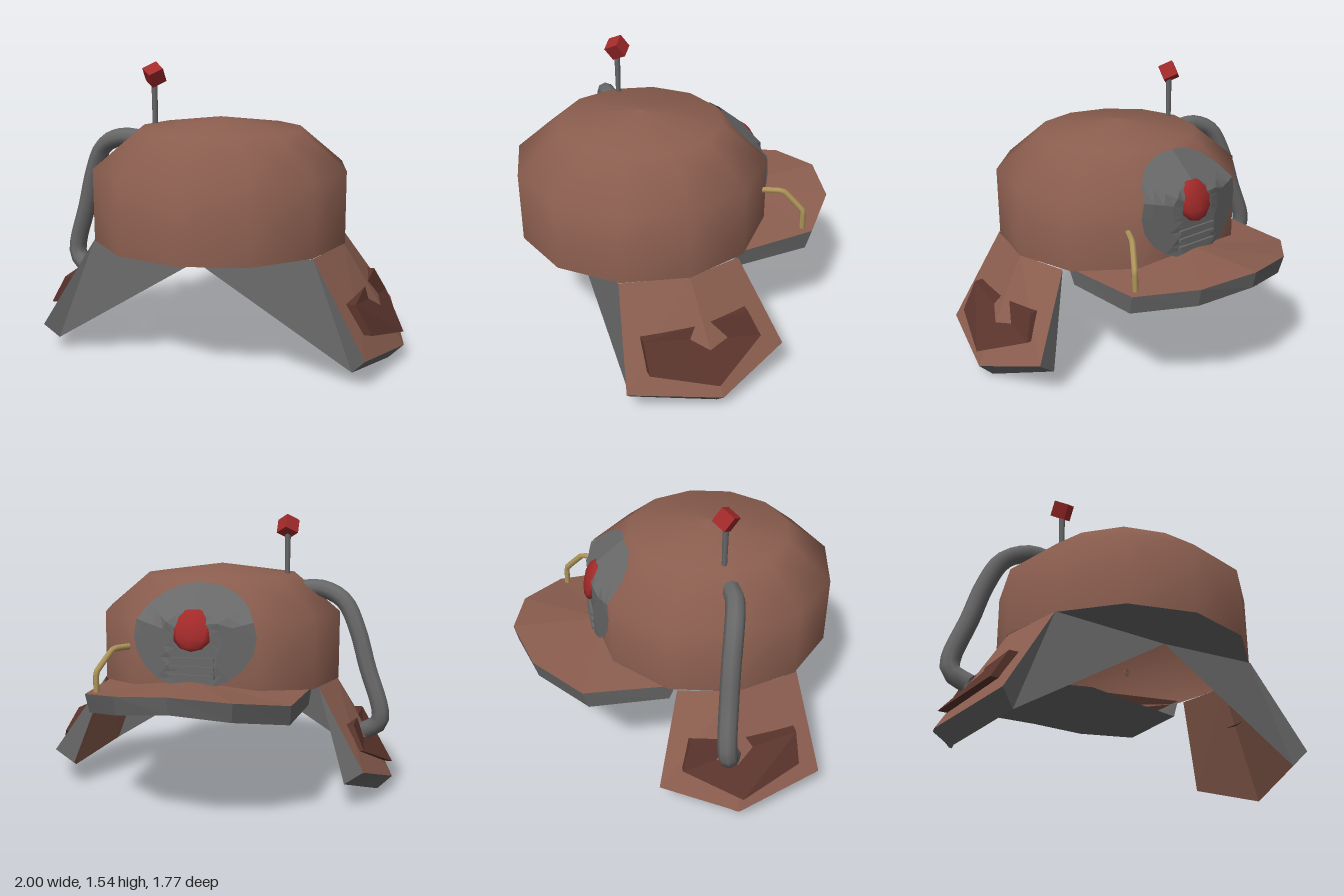
import * as THREE from 'three';

const material = (name, color) => {
  const m = new THREE.MeshStandardMaterial({ color, side: THREE.DoubleSide });
  m.name = name;
  return m;
};

export function createModel() {
  const brown = material('brown leather', 0x8b5e4f);
  const darkBrown = material('dark brown patch', 0x5a342c);
  const grey = material('grey', 0x686868);
  const red = material('red', 0xa32a2a);
  const brass = material('brass', 0xb0965a);

  const group = new THREE.Group();
  const add = (name, geometry, mat) => {
    const mesh = new THREE.Mesh(geometry, mat);
    mesh.name = name;
    group.add(mesh);
    return mesh;
  };

  // Flat-faced surface from polygons, each fanned from its first corner
  const polygons = (polys) => {
    const pos = [];
    for (const p of polys)
      for (let i = 1; i < p.length - 1; i++) pos.push(...p[0], ...p[i], ...p[i + 1]);
    const g = new THREE.BufferGeometry();
    g.setAttribute('position', new THREE.Float32BufferAttribute(pos, 3));
    g.computeVertexNormals();
    return g;
  };
  // Quads joining two matching rows of points
  const strip = (a, b) => a.slice(1).map((p, i) => [a[i], p, b[i + 1], b[i]]);
  const mirror = (s, list) => list.map(([x, y, z]) => [s * x, y, z]);

  // Crown: twelve-sided, open below, flattened slightly at the back
  const BACK = -0.445, CZ = 0.2;
  const profile = [[0.68, 0.62], [0.68, 1.0], [0.44, 1.2], [0, 1.26]];
  const crown = new THREE.LatheGeometry(profile.map((p) => new THREE.Vector2(...p)), 12);
  crown.translate(0, 0, CZ);
  const cp = crown.attributes.position;
  for (let i = 0; i < cp.count; i++) cp.setZ(i, Math.max(BACK, cp.getZ(i)));
  add('crown', crown, brown);

  // Lip under the front edge of the crown
  const chin = [0, 0.57, 0.6];
  const rim = [[0.59, 0.62, 0.54], [0.34, 0.62, 0.789], [0, 0.62, 0.88], [-0.34, 0.62, 0.789], [-0.59, 0.62, 0.54]];
  add('frontLip', polygons([[chin, ...rim]]), grey);

  // Ear flaps with grey edges, front gusset and raised patch
  for (const s of [1, -1]) {
    const side = s > 0 ? 'left' : 'right';
    const [A, B, C, D, E, M] = mirror(s, [
      [0.59, 0.62, 0.55], [0.87, 0.15, 0.62], [1.0, 0.08, 0.15],
      [0.87, 0.21, -0.245], [0.61, 0.62, -0.1], [0.675, 0.62, 0.2]]);
    const [b, c, d] = mirror(s, [[0.8, 0.07, 0.58], [0.92, 0, 0.15], [0.77, 0.13, -0.22]]);
    add(side + 'FlapOuter', polygons([[M, E, D, C, B, A]]), brown);
    add(side + 'FlapInner', polygons([[M, E, d, c, b, A]]), brown);
    add(side + 'FlapEdge', polygons([...strip([B, C, D], [b, c, d]), [E, D, d], [A, B, b]]), grey);
    add(side + 'FrontGusset', polygons([[A, b, chin]]), grey);

    const outline = [[0.5, 0.39], [-0.07, 0.42], [-0.12, 0.29], [0.17, 0.16], [0.5, 0.24]];
    const ring = (lift) => mirror(s, outline.map(([z, y]) => [
      0.6 + 0.57 * (0.62 - y) + 0.09 * (1 - Math.abs(z - 0.17) / 0.42) + lift, y, z]));
    const top = ring(0.045), base = ring(-0.01);
    add(side + 'FlapPatch', polygons([top, ...strip([...top, top[0]], [...base, base[0]])]), darkBrown);
  }

  // Brim at the back, raised toward its tip
  const full = (half) => [...half, ...mirror(-1, half.slice(0, -1)).reverse()];
  const brimTop = full([[0.57, 0.62, -0.1], [0.54, 0.625, -0.58], [0.3, 0.675, -0.81], [0, 0.705, -0.89]]);
  const brimLow = full([[0.56, 0.53, -0.13], [0.53, 0.52, -0.55], [0.29, 0.575, -0.785], [0, 0.615, -0.87]]);
  add('brimTop', polygons([[[0, 0.69, -0.4], ...brimTop]]), brown);
  add('brimEdge', polygons(strip(brimTop, brimLow)), grey);
  add('brimUnderside', polygons([[[0, 0.6, -0.13], ...brimLow]]), grey);

  // Badge plates follow the back of the crown
  const crownBack = (x, y) => {
    const r = y < 1 ? 0.68 : 0.68 - 1.2 * (y - 1);
    return Math.max(BACK, CZ - r + 0.268 * Math.abs(x));
  };
  const plate = (cy, rx, ry, sides, rings, lift) => {
    const row = (k) => Array.from({ length: sides + 1 }, (_, i) => {
      const a = (i / sides) * Math.PI * 2;
      const x = (k / rings) * rx * Math.cos(a), y = cy + (k / rings) * ry * Math.sin(a);
      return [x, y, crownBack(x, y) - lift];
    });
    const polys = [];
    for (let k = 0; k < rings; k++) polys.push(...strip(row(k), row(k + 1)));
    return polygons(polys);
  };
  add('badgePlate', plate(0.92, 0.33, 0.27, 20, 6, 0.012), grey);
  const lamp = add('badgeLamp', new THREE.SphereGeometry(0.115, 8, 6), red);
  lamp.scale.z = 0.4;
  lamp.rotation.x = 0.35;
  lamp.position.set(0, 0.96, -0.435);
  for (let i = 0; i < 3; i++)
    add('badgeSlat', new THREE.BoxGeometry(0.24, 0.018, 0.02), grey).position.set(0, 0.72 + i * 0.045, -0.46);

  // Aerial with a tilted cube
  add('aerialRod', new THREE.CylinderGeometry(0.017, 0.014, 0.26, 6), grey).position.set(-0.38, 1.31, 0.19);
  const cube = add('aerialCube', new THREE.BoxGeometry(0.085, 0.085, 0.085), red);
  cube.position.set(-0.38, 1.47, 0.19);
  cube.rotation.set(0.62, Math.PI / 4, 0);

  // Hose and brass wire
  const tube = (name, points, segments, radius, sides, tension, mat) => {
    const curve = new THREE.CatmullRomCurve3(points.map((p) => new THREE.Vector3(...p)), false, 'catmullrom', tension);
    add(name, new THREE.TubeGeometry(curve, segments, radius, sides), mat);
  };
  tube('hose', [[-0.44, 1.12, 0.2], [-0.58, 1.125, 0.195], [-0.71, 1.06, 0.16], [-0.79, 0.9, 0.13],
    [-0.85, 0.7, 0.11], [-0.92, 0.5, 0.09], [-0.92, 0.4, 0.1], [-0.84, 0.34, 0.14]], 24, 0.05, 8, 0.5, grey);
  tube('brassWire', [[0.35, 0.845, -0.31], [0.43, 0.845, -0.45], [0.49, 0.735, -0.54], [0.49, 0.62, -0.545]],
    18, 0.017, 6, 0.1, brass);

  return group;
}
